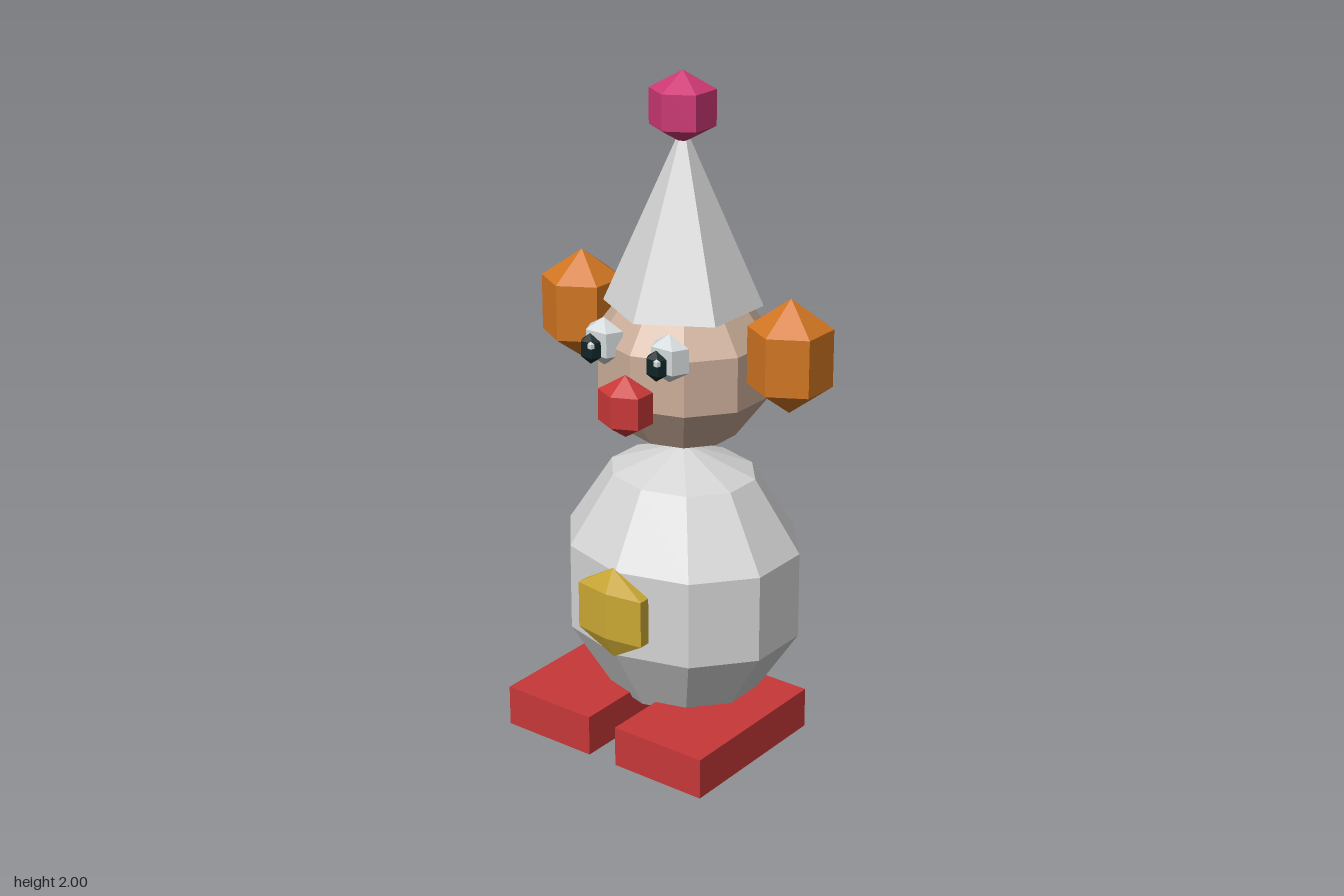
import * as THREE from 'three';

const paint = (name, color) => {
  const m = new THREE.MeshStandardMaterial({ color, flatShading: true });
  m.name = name;
  return m;
};

export function createModel() {
  const white = paint('paleGrey', 0xd4d4d4);
  const eyeWhite = paint('eyeGrey', 0xd2d8da);
  const skin = paint('skin', 0xcbad99);
  const red = paint('red', 0xc83838);
  const orange = paint('orange', 0xd27622);
  const pink = paint('pink', 0xcd3874);
  const yellow = paint('yellow', 0xcaa834);
  const dark = paint('darkTeal', 0x0f2426);

  const model = new THREE.Group();
  model.name = 'clown';
  const AXIS = -0.035; // z of the body axis

  const add = (name, geometry, material, x, y, z) => {
    const mesh = new THREE.Mesh(geometry, material);
    mesh.name = name;
    mesh.position.set(x, y, z);
    model.add(mesh);
    return mesh;
  };

  // Faceted ball with a corner on the z axis, stretched to radii rx, ry, rz
  const ball = (name, material, [x, y, z], [rx, ry, rz], sides, rings) => {
    const g = new THREE.SphereGeometry(1, sides, rings);
    g.rotateY(-Math.PI / 2).scale(rx, ry, rz);
    return add(name, g, material, x, y, z);
  };

  // Body and head
  ball('body', white, [0, 0.453, AXIS], [0.391, 0.433, 0.34], 10, 5);
  ball('head', skin, [0, 1.147, AXIS], [0.277, 0.266, 0.26], 10, 5);

  // Pointed hat with pompom
  add('hat', new THREE.ConeGeometry(0.232, 0.53, 6), white, 0, 1.585, AXIS);
  ball('hatPompom', pink, [0, 1.896, AXIS + 0.003], [0.11, 0.104, 0.11], 6, 3);

  // Nose and belly button
  ball('nose', red, [0, 1.085, 0.234], [0.096, 0.094, 0.078], 6, 3);
  ball('bellyButton', yellow, [0, 0.462, 0.298], [0.153, 0.143, 0.041], 6, 3);

  // Paired parts
  for (const [label, s] of [['left', 1], ['right', -1]]) {
    ball(label + 'HairTuft', orange, [s * 0.375, 1.24, AXIS], [0.14, 0.17, 0.139], 6, 3);
    ball(label + 'Eye', eyeWhite, [s * 0.117, 1.241, 0.183], [0.072, 0.072, 0.049], 5, 3);
    ball(label + 'Pupil', dark, [s * 0.117, 1.235, 0.243], [0.039, 0.046, 0.025], 5, 3);
    // Both highlights sit on the same side of the pupil
    ball(label + 'EyeHighlight', eyeWhite, [s * 0.117 + 0.015, 1.25, 0.259], [0.013, 0.013, 0.01], 5, 3);
    add(label + 'Foot', new THREE.BoxGeometry(0.31, 0.125, 0.53), red, s * 0.204, 0.0625, 0.092);
  }

  return model;
}
